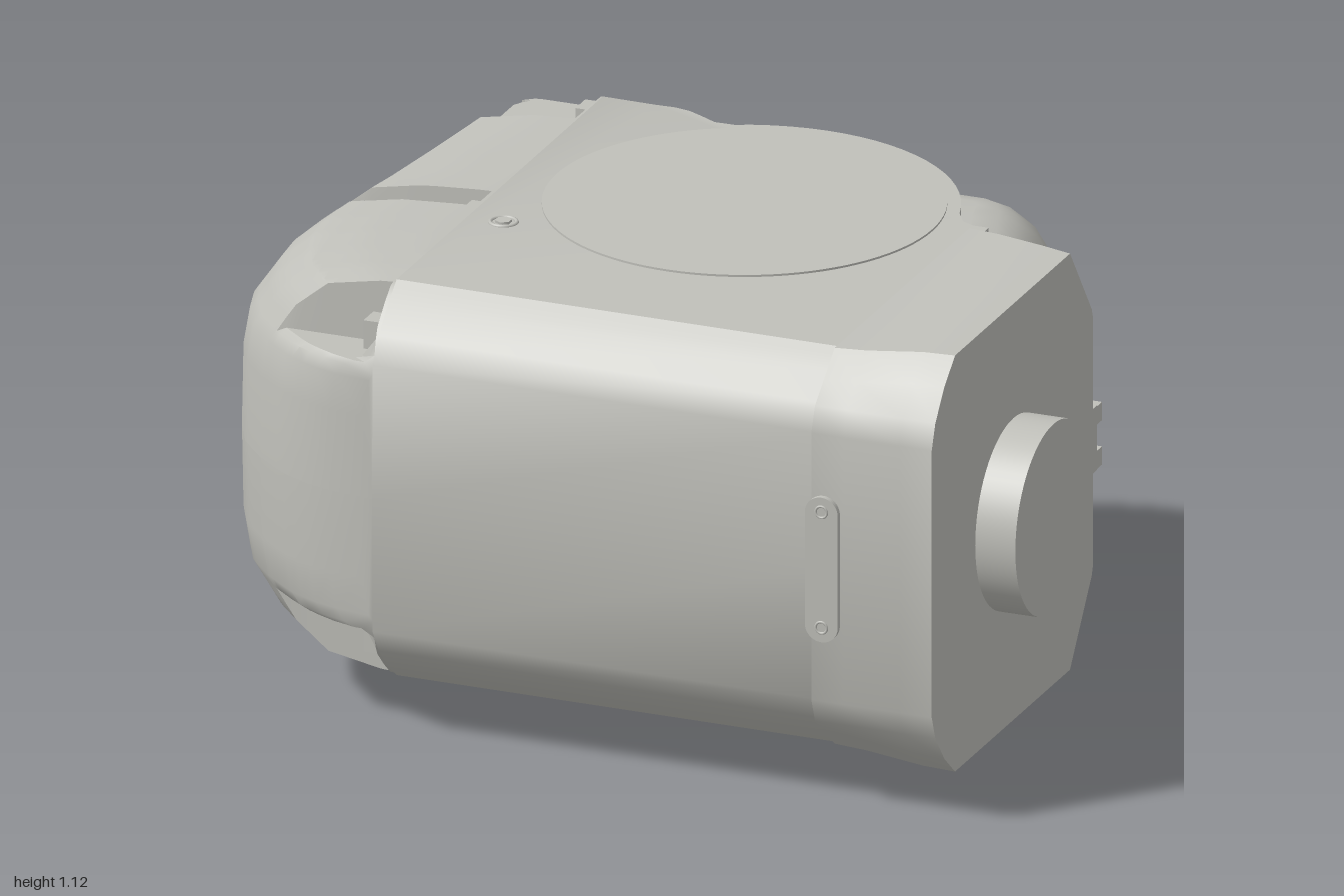
import * as THREE from 'three';
import { toCreasedNormals } from 'three/addons/utils/BufferGeometryUtils.js';

const MID = 0.61; // height of the horizontal symmetry plane
// edge roundings as [half height, inset] pairs, from the mid plane to the top
const FRONT = [[0, 0], [0.33, 0.003], [0.39, 0.04], [0.45, 0.1], [0.49, 0.15]];
const BACK = [[0, 0], [0.39, 0.003], [0.45, 0.02], [0.475, 0.045], [0.49, 0.08]];
const LEFT = [[0, 0], [0.2, 0.004], [0.29, 0.02], [0.39, 0.09], [0.455, 0.17], [0.48, 0.3], [0.49, 0.45]];
const BULGE = [[0, 0], [0.28, 0.012], [0.33, 0.035], [0.37, 0.075], [0.39, 0.11], [0.4, 0.16]];
// rounded left end in plan, as [z, x] pairs
const CONTOUR = [[-0.755, -0.78], [-0.74, -0.82], [-0.7, -0.87], [-0.65, -0.9], [-0.53, -0.915], [-0.3, -0.94],
  [-0.1, -0.965], [0.05, -0.99], [0.2, -1], [0.3, -0.99], [0.4, -0.96], [0.5, -0.91], [0.58, -0.84],
  [0.65, -0.76], [0.69, -0.69], [0.72, -0.6], [0.73, -0.5]];

// linear interpolation in a table, reading column a and returning column b
function lookup(table, v, a, b) {
  if (v <= table[0][a]) return table[0][b];
  for (let i = 1; i < table.length; i++) {
    const p = table[i - 1], q = table[i];
    if (v <= q[a]) return p[b] + (q[b] - p[b]) * (v - p[a]) / (q[a] - p[a]);
  }
  return table[table.length - 1][b];
}

function build(points, index, crease = 0.55) {
  const g = new THREE.BufferGeometry();
  g.setAttribute('position', new THREE.Float32BufferAttribute(points.flat(), 3));
  g.setIndex(index);
  return toCreasedNormals(g, crease);
}

// closed loft through rings of equal length; u and v are the plane axes of the end caps
function loft(rings, u, v) {
  const n = rings[0].length, index = [];
  for (let l = 0; l < rings.length - 1; l++) for (let i = 0; i < n; i++) {
    const a = l * n + i, b = l * n + (i + 1) % n;
    index.push(a, b, b + n, a, b + n, a + n);
  }
  const cap = r => THREE.ShapeUtils.triangulateShape(r.map(p => new THREE.Vector2(p[u], p[v])), []);
  const end = (rings.length - 1) * n;
  cap(rings[0]).forEach(([a, b, c]) => index.push(a, c, b));
  cap(rings[rings.length - 1]).forEach(([a, b, c]) => index.push(end + a, end + b, end + c));
  return build(rings.flat(), index);
}

// symmetric list of signed half heights
const levels = t => [...t.slice(1).map(r => -r[0]).reverse(), 0, ...t.slice(1).map(r => r[0])];

// central housing with the round turret wall on its back
function coreGeometry() {
  const outline = [[-0.5, 0.73], [0.64, 0.738], [0.64, -0.24], [0.6, -0.24], [0.57, -0.255]];
  for (let a = 15; a <= 115; a += 5) {
    const t = a * Math.PI / 180;
    outline.push([0.06 + 0.5 * Math.cos(t), -0.17 - 0.5 * Math.sin(t)]);
  }
  outline.push([-0.2, -0.622], [-0.24, -0.645], [-0.28, -0.69], [-0.32, -0.73], [-0.37, -0.752], [-0.5, -0.755]);
  const hs = [...new Set([...levels(FRONT), ...levels(BACK)])].sort((a, b) => a - b);
  return loft(hs.map(h => outline.map(([x, z]) => {
    const k = Math.abs(h);
    let dz = 0;
    if (z > 0.5) dz = -lookup(FRONT, k, 0, 1);
    else if (x < -0.25) dz = lookup(BACK, k, 0, 1) * Math.min(1, (-0.25 - x) / 0.1);
    return [x, MID + h, z + dz];
  })), 2, 0);
}

// rounded bulge behind the housing
function bulgeGeometry() {
  const outline = [[-0.45, -0.1], [0.6, -0.1], [0.69, -0.2], [0.712, -0.3], [0.7, -0.42], [0.675, -0.54],
    [0.645, -0.64], [0.61, -0.7], [0.56, -0.74], [0.48, -0.757], [-0.45, -0.757]];
  return loft(levels(BULGE).map(h => outline.map(([x, z]) => {
    const d = lookup(BULGE, Math.abs(h), 0, 1);
    const nx = THREE.MathUtils.clamp((x - 0.45) / 0.2, 0, 1);
    const nz = THREE.MathUtils.clamp((-0.3 - z) / 0.4, 0, 1);
    return [x - d * nx, MID + h, z + d * nz];
  })), 2, 0);
}

// octagonal mounting end, swelling towards its face
function collarGeometry() {
  const section = (x, h, back, hb) => {
    const top = [[-0.24, hb * 0.93], [-0.232, hb], [back, h], [0.6, h], [0.665, h - 0.055], [0.72, 0.39], [0.742, 0.33]];
    const low = top.map(([z, y]) => [z, -y]).reverse();
    return [...top, ...low].map(([z, y]) => [x, MID + y, z]);
  };
  return loft([section(0.6, 0.49, -0.22, 0.48), section(0.68, 0.495, -0.2, 0.455),
    section(0.82, 0.512, -0.13, 0.37), section(0.9, 0.515, -0.1, 0.33)], 1, 2);
}

// half height of the end cover, with its bolt recesses and corner pocket
function coverHeight(x, z, upper) {
  let h = Math.min(lookup(LEFT, x - lookup(CONTOUR, z, 0, 1), 1, 0),
    lookup(FRONT, 0.73 - z, 1, 0), lookup(BACK, z + 0.755, 1, 0));
  if (x > -0.9 && x < -0.51 && z > -0.02 && z < 0.08) h = Math.min(h, 0.42);
  if (x > -0.78 && x < -0.51 && z > 0.58) h = Math.min(h, 0.33);
  if (upper && z < -0.53) {
    if (x < -0.72) h = Math.min(h, 0.03);
    else if (x < -0.51) h = Math.min(h, 0.44);
  }
  if (!upper && z < -0.62 && x > -0.75 && x < -0.51) h = Math.min(h, 0.39);
  return h;
}

// one half of the end cover as a grid that follows the rounded contour
function coverGeometry(upper) {
  const zs = [-0.755, -0.752, 0.727, 0.73];
  for (let z = -0.745; z < 0.725; z += 0.02) zs.push(z);
  for (const e of [-0.62, -0.53, -0.02, 0.08, 0.58]) zs.push(e - 0.001, e + 0.001);
  zs.sort((a, b) => a - b);
  const offsets = [0, 0.004, 0.02, 0.04, 0.065, 0.09, 0.12, 0.15, 0.17];
  const lines = [-0.76, -0.74, -0.721, -0.719, -0.69, -0.65, -0.61, -0.57, -0.54, -0.511, -0.509, -0.5];
  const points = [], index = [], n = zs.length;
  for (let i = 0; i < offsets.length + lines.length; i++) for (const z of zs) {
    const xl = lookup(CONTOUR, z, 0, 1);
    const x = Math.min(-0.5, i < offsets.length ? xl + offsets[i] : Math.max(xl + 0.17, lines[i - offsets.length]));
    points.push([x, MID + (upper ? 1 : -1) * coverHeight(x, z, upper), z]);
  }
  for (let i = 0; i < offsets.length + lines.length - 1; i++) for (let j = 0; j < n - 1; j++) {
    const a = i * n + j, b = a + 1, c = a + n, d = c + 1;
    if (upper) index.push(a, b, c, b, d, c);
    else index.push(a, c, b, b, c, d);
  }
  return build(points, index, 0.6);
}

export function createModel() {
  const model = new THREE.Group();
  model.name = 'gearHousing';
  const grey = new THREE.MeshStandardMaterial({ color: 0xc0c0ba });
  grey.name = 'castGrey';

  const add = (name, geometry, x = 0, y = 0, z = 0) => {
    const mesh = new THREE.Mesh(geometry, grey);
    mesh.name = name;
    mesh.position.set(x, y, z);
    model.add(mesh);
    return mesh;
  };
  const box = (name, w, h, d, x, y, z) => add(name, new THREE.BoxGeometry(w, h, d), x, y, z);
  const cylinder = (name, r, h, x, y, z, sides = 48) => add(name, new THREE.CylinderGeometry(r, r, h, sides), x, y, z);

  add('housing', coreGeometry());
  add('rearBulge', bulgeGeometry());
  add('mountingEnd', collarGeometry());
  add('upperEndCover', coverGeometry(true));
  add('lowerEndCover', coverGeometry(false));

  // round lid and output shaft
  cylinder('roundLid', 0.468, 0.01, 0.06, 1.1, -0.17, 96);
  cylinder('outputShaft', 0.232, 0.14, 0.93, MID, 0.245, 64).rotation.z = Math.PI / 2;

  // drain plug below
  const plug = [[0, 0], [0.062, 0], [0.066, 0.006], [0.07, 0.075], [0.078, 0.09], [0.095, 0.105], [0.095, 0.13]];
  add('drainPlug', toCreasedNormals(new THREE.LatheGeometry(plug.map(p => new THREE.Vector2(...p)), 40), 0.6), 0.745, 0, 0.095);

  // level gauge on the front
  const pill = new THREE.Shape();
  pill.absarc(0, 0.138, 0.041, 0, Math.PI);
  pill.absarc(0, -0.138, 0.041, Math.PI, Math.PI * 2);
  add('levelGauge', new THREE.ExtrudeGeometry(pill, { depth: 0.025, bevelEnabled: false, curveSegments: 16 }), 0.63, MID, 0.73);
  for (const s of [-1, 1]) {
    add('gaugeScrew', new THREE.TorusGeometry(0.014, 0.003, 8, 20), 0.63, MID + s * 0.143, 0.755);
  }

  // filler screw on the top
  add('fillerRim', new THREE.TorusGeometry(0.031, 0.005, 8, 32), -0.41, 1.1, 0.15).rotation.x = Math.PI / 2;
  cylinder('fillerHex', 0.02, 0.008, -0.41, 1.102, 0.15, 6);

  // cover bolts in the recesses
  for (const s of [-1, 1]) {
    box('middleBolt', 0.04, 0.06, 0.06, -0.53, MID + s * 0.44, 0.03);
    box('frontBolt', 0.04, 0.07, 0.06, -0.53, MID + s * 0.375, 0.63);
    box('rearBolt', 0.04, 0.06, 0.06, -0.53, MID + s * 0.44, -0.66);
  }
  const socket = cylinder('sideBolt', 0.04, 0.04, -0.73, 0.86, -0.64, 24);
  socket.rotation.z = Math.PI / 2;

  // clamp lug beside the mounting end
  box('clampLug', 0.19, 0.16, 0.08, 0.805, MID, -0.225);
  for (const s of [-1, 1]) box('clampJaw', 0.18, 0.045, 0.05, 0.81, MID + s * 0.055, -0.27);
  box('clampScrew', 0.12, 0.055, 0.06, 0.8, MID, -0.262);
  return model;
}
